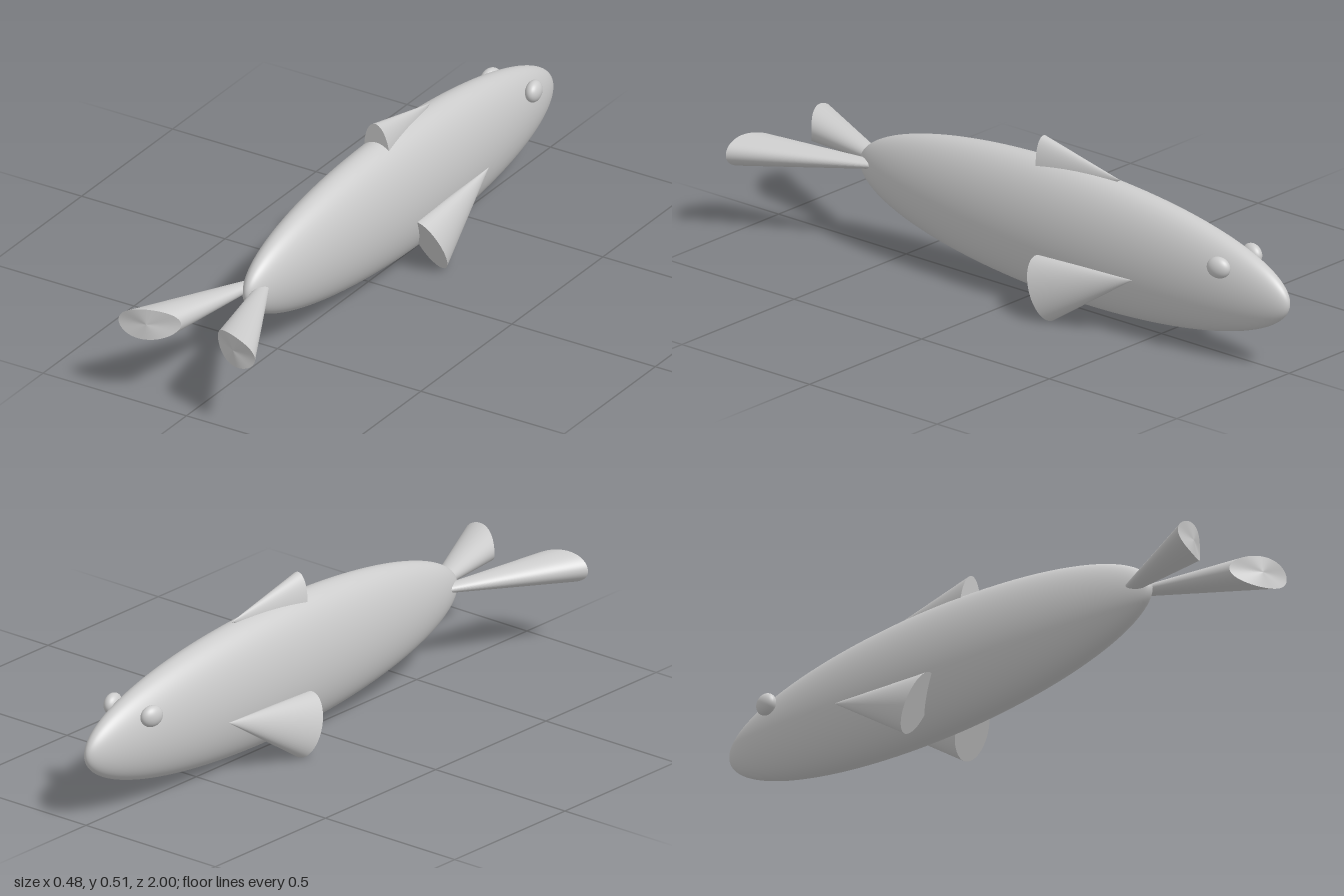
import * as THREE from 'three';

const material = new THREE.MeshStandardMaterial({ color: 0xcccccc });

function addMesh(group, name, geometry) {
  const mesh = new THREE.Mesh(geometry, material);
  mesh.name = name;
  group.add(mesh);
  return mesh;
}

// Skewed cone from apex to an elliptical end with half axes u (height) and v (width).
// side = -1 mirrors it in x; bow pulls both ends of the width forward.
function finGeometry({ apex, base, u, v, bow = 0 }, side = 1) {
  const A = new THREE.Vector3(apex[0] * side, apex[1], apex[2]);
  const B = new THREE.Vector3(base[0] * side, base[1], base[2]);
  const U = new THREE.Vector3(u[0] * side, u[1], u[2]);
  const V = new THREE.Vector3(v[0], v[1] * side, v[2] * side);
  const geometry = new THREE.ConeGeometry(1, 1, 64);
  const pos = geometry.attributes.position;
  const p = new THREE.Vector3();
  for (let i = 0; i < pos.count; i++) {
    const x = pos.getX(i);
    p.lerpVectors(A, B, 0.5 - pos.getY(i))
      .addScaledVector(V, x)
      .addScaledVector(U, pos.getZ(i));
    p.z -= bow * x * x;
    pos.setXYZ(i, p.x, p.y, p.z);
  }
  geometry.computeVertexNormals();
  return geometry;
}

export function createModel() {
  const model = new THREE.Group();
  model.name = 'fish';

  // Body: long ellipsoid with its poles at nose and tail, tail slightly raised
  const bodyGeometry = new THREE.SphereGeometry(1, 96, 64);
  bodyGeometry.rotateX(Math.PI / 2);
  bodyGeometry.scale(0.107, 0.209, 0.838);
  const body = addMesh(model, 'body', bodyGeometry);
  body.position.set(0, 0.234, -0.162);
  body.rotation.x = -0.024;

  // Dorsal fin
  addMesh(model, 'dorsalFin', finGeometry({
    apex: [0, 0.442, -0.34], base: [0, 0.403, -0.047],
    u: [0, 0.105, 0.01], v: [0.044, 0, 0],
  }));

  const pectoral = {
    apex: [0.113, 0.196, -0.485], base: [0.12, 0.0895, -0.147],
    u: [-0.013, 0.0895, 0.042], v: [0.0555, 0, 0.012],
  };
  const tail = {
    apex: [-0.025, 0.262, 0.48], base: [0.151, 0.253, 0.983],
    u: [0, 0.05, 0], v: [0.087, 0, 0.035], bow: 0.02,
  };

  // Paired parts
  for (const [side, label] of [[1, 'left'], [-1, 'right']]) {
    addMesh(model, label + 'PectoralFin', finGeometry(pectoral, side));
    addMesh(model, label + 'TailFin', finGeometry(tail, side));

    const eye = addMesh(model, label + 'Eye', new THREE.SphereGeometry(1, 32, 24));
    eye.scale.set(0.024, 0.033, 0.038);
    eye.position.set(0.075 * side, 0.302, -0.79);
    eye.rotation.y = 0.2 * side;
  }

  return model;
}
